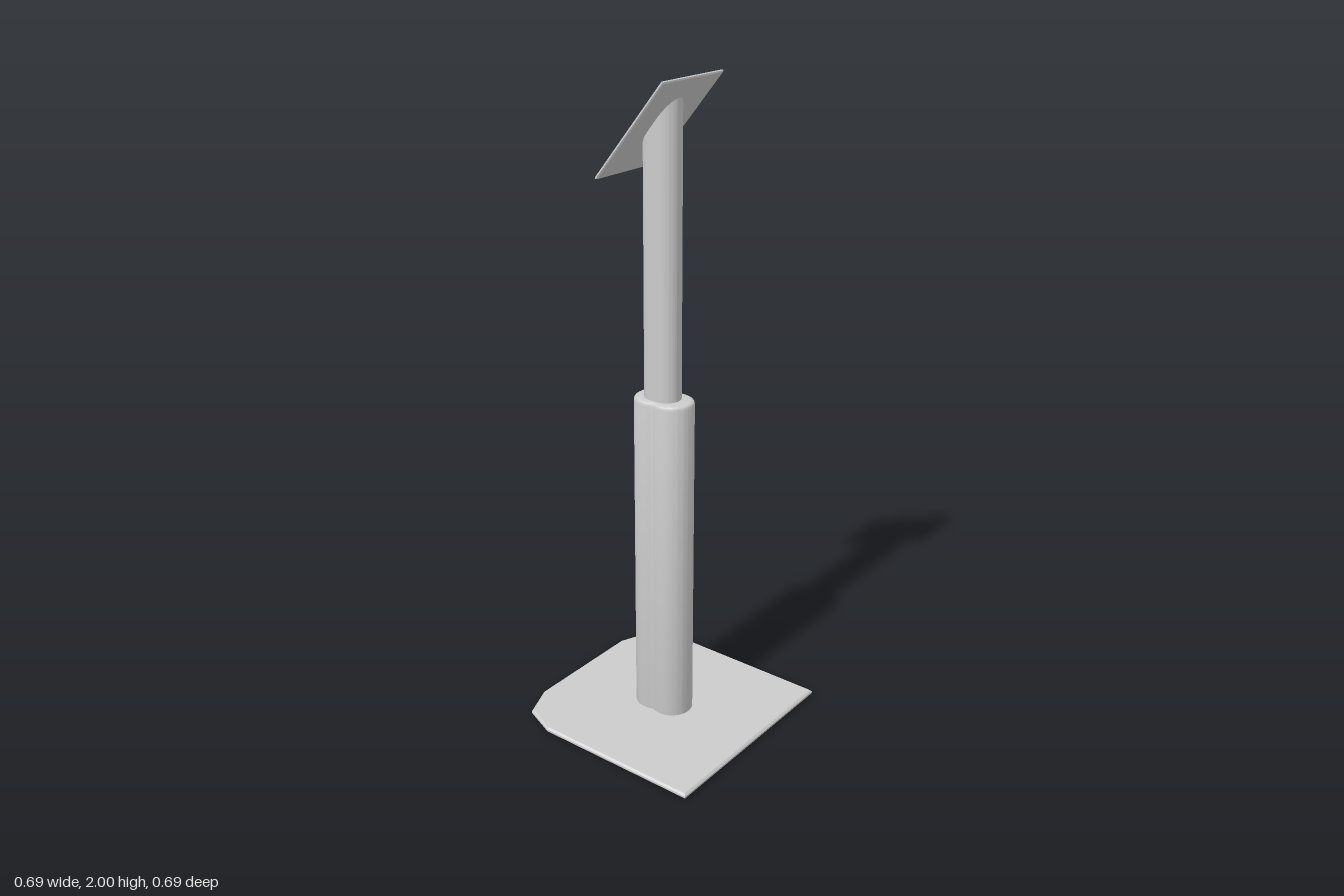
import * as THREE from 'three';
import { toCreasedNormals } from 'three/addons/utils/BufferGeometryUtils.js';

const material = new THREE.MeshStandardMaterial({ color: 0xcccccc });

// Two round lobes; sweep over 90 degrees gives a soft waist between them, 90 gives straight sides
function lobedShape(c, r, sweepDeg) {
  const a = THREE.MathUtils.degToRad(sweepDeg);
  const x = c + r * Math.cos(a);
  const waist = r * Math.sin(a) + x / Math.tan(a);
  const s = new THREE.Shape();
  s.absarc(c, 0, r, -a, a, false);
  s.quadraticCurveTo(0, waist, -x, r * Math.sin(a));
  s.absarc(-c, 0, r, Math.PI - a, Math.PI + a, false);
  s.quadraticCurveTo(0, -waist, x, -r * Math.sin(a));
  return s;
}

// Extrudes a plan shape upward from y = 0, with its edges bevelled inward
function extrudeUp(shape, height, bevel = 0, bevelSegments = 1) {
  const g = new THREE.ExtrudeGeometry(shape, {
    depth: height - 2 * bevel, curveSegments: 20,
    bevelEnabled: bevel > 0, bevelThickness: bevel, bevelSize: bevel,
    bevelOffset: -bevel, bevelSegments,
  });
  return g.translate(0, 0, bevel).rotateX(-Math.PI / 2);
}

function polygon(points) {
  return new THREE.Shape(points.map(([x, y]) => new THREE.Vector2(x, y)));
}

export function createModel() {
  const model = new THREE.Group();
  const add = (name, geometry, crease = 0.5) => {
    const mesh = new THREE.Mesh(toCreasedNormals(geometry, crease), material);
    mesh.name = name;
    model.add(mesh);
    return mesh;
  };

  // Floor plate with two clipped corners on one side
  const half = [[-0.343, 0.195], [-0.3, 0.3], [-0.195, 0.343], [0.343, 0.343]];
  const mirrored = half.map(([x, z]) => [x, -z]).reverse();
  add('basePlate', extrudeUp(polygon([...mirrored, ...half].reverse()), 0.018, 0.006), 0.2);

  // Wide lower column with a rounded top rim
  add('lowerColumn', extrudeUp(lobedShape(0.031, 0.065, 110), 1.065, 0.012, 4));

  // Sloping plane shared by the panel and the cut end of the post
  const slope = 0.285 / 0.236;
  const centre = new THREE.Vector3(-0.019, 1.856, 0);

  // Slim upper post, cut off along the slope
  const post = extrudeUp(lobedShape(0.014, 0.044, 90), 1).translate(-0.005, 0.9, 0);
  const p = post.attributes.position;
  for (let i = 0; i < p.count; i++) {
    if (p.getY(i) > 1.5) p.setY(i, centre.y + (p.getX(i) - centre.x) * slope);
  }
  add('upperPost', post);

  // Thin tilted panel
  const [l, w] = [0.183, 0.133];
  const slab = polygon([[-l, -w], [l, -w], [l, w], [-l, w]]);
  const panel = add('tiltedPanel', extrudeUp(slab, 0.009, 0.003).translate(0, -0.0045, 0), 0.2);
  panel.position.copy(centre);
  panel.rotation.z = Math.atan(slope);

  return model;
}
